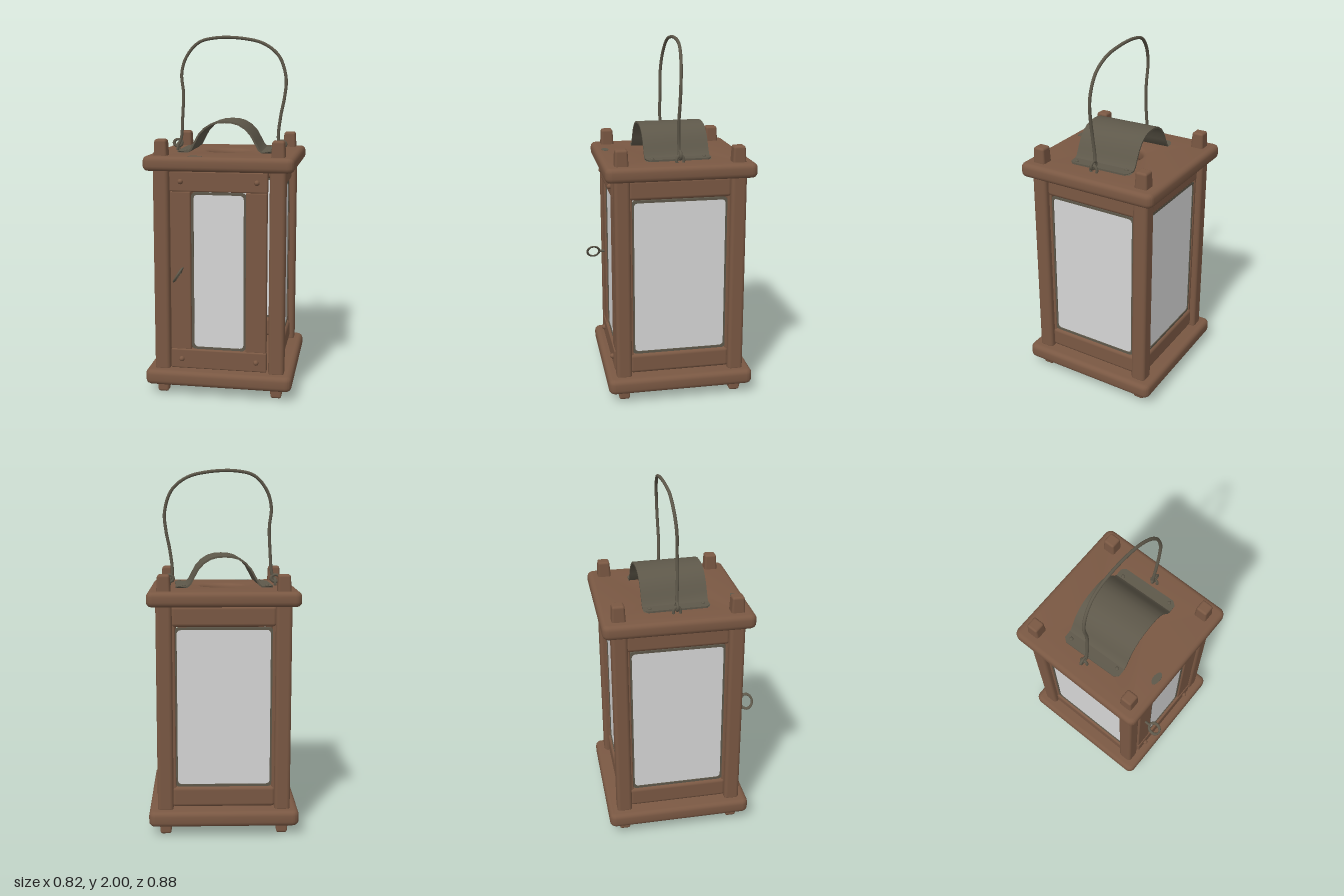
import * as THREE from 'three';
import { toCreasedNormals } from 'three/addons/utils/BufferGeometryUtils.js';
import { RoundedBoxGeometry } from 'three/addons/geometries/RoundedBoxGeometry.js';

const CZ = -0.025; // centre of the wooden body in z
const PANE_Y = 0.71;

export function createModel() {
  const wood = new THREE.MeshStandardMaterial({ color: 0x7a5843 });
  wood.name = 'brown wood';
  const metal = new THREE.MeshStandardMaterial({ color: 0x5e584a });
  metal.name = 'dull iron';
  const glass = new THREE.MeshStandardMaterial({ color: 0xd6d6d6 });
  glass.name = 'pale glass';

  const model = new THREE.Group();
  model.name = 'lantern';

  function add(parent, name, geometry, material, x = 0, y = 0, z = 0) {
    const mesh = new THREE.Mesh(geometry, material);
    mesh.name = name;
    mesh.position.set(x, y, z);
    parent.add(mesh);
    return mesh;
  }
  const box = (w, h, d, r = 0.012) => new RoundedBoxGeometry(w, h, d, 2, r);

  // Rounded box that narrows towards its top
  function taperedBox(w, h, topScale) {
    const g = box(w, h, w, 0.014);
    const p = g.attributes.position;
    for (let i = 0; i < p.count; i++) {
      const s = THREE.MathUtils.lerp(1, topScale, p.getY(i) / h + 0.5);
      p.setX(i, p.getX(i) * s);
      p.setZ(i, p.getZ(i) * s);
    }
    return g;
  }

  function roundedRect(w, h, r, Type = THREE.Shape) {
    const s = new Type();
    const x = w / 2, y = h / 2;
    s.moveTo(-x + r, -y);
    s.lineTo(x - r, -y);
    s.quadraticCurveTo(x, -y, x, -y + r);
    s.lineTo(x, y - r);
    s.quadraticCurveTo(x, y, x - r, y);
    s.lineTo(-x + r, y);
    s.quadraticCurveTo(-x, y, -x, y - r);
    s.lineTo(-x, -y + r);
    s.quadraticCurveTo(-x, -y, -x + r, -y);
    return s;
  }

  // Base and roof boards; the roof has a round vent hole
  function board(thickness, hasHole) {
    const bevel = 0.026;
    const shape = roundedRect(0.825 - 2 * bevel, 0.825 - 2 * bevel, 0.015);
    if (hasHole) {
      const hole = new THREE.Path();
      hole.absarc(0, 0, 0.142, 0, Math.PI * 2, true);
      shape.holes.push(hole);
    }
    const g = new THREE.ExtrudeGeometry(shape, {
      depth: thickness - 2 * bevel, bevelEnabled: true, bevelSize: bevel,
      bevelThickness: bevel, bevelSegments: 4, curveSegments: 20,
    });
    g.translate(0, 0, -thickness / 2 + bevel);
    g.rotateX(-Math.PI / 2);
    return toCreasedNormals(g, 0.7);
  }
  add(model, 'baseBoard', board(0.085, false), wood, 0, 0.1025, CZ);
  add(model, 'roofBoard', board(0.08, true), wood, 0, 1.312, CZ);

  // Corner posts with pegs through the roof and feet under the base
  for (const sx of [-1, 1]) {
    for (const sz of [-1, 1]) {
      const x = sx * 0.322, z = CZ + sz * 0.32;
      add(model, 'cornerPost', box(0.087, 1.16, 0.087, 0.02), wood, x, 0.71, z);
      add(model, 'roofPeg', taperedBox(0.08, 0.14, 0.82), wood, x, 1.37, z);
      const foot = add(model, 'foot', taperedBox(0.074, 0.1, 0.8), wood, x, 0.05, z);
      foot.rotation.x = Math.PI;
    }
  }

  // Glass pane with a thin iron rim, facing local +z
  function pane(parent, w, z) {
    const h = 0.865;
    add(parent, 'pane', new THREE.ExtrudeGeometry(roundedRect(w, h, 0.025),
      { depth: 0.008, bevelEnabled: false }), glass, 0, PANE_Y, z);
    const rim = roundedRect(w + 0.025, h + 0.025, 0.028);
    rim.holes.push(roundedRect(w - 0.002, h - 0.002, 0.025, THREE.Path));
    add(parent, 'paneRim', new THREE.ExtrudeGeometry(rim,
      { depth: 0.016, bevelEnabled: false }), metal, 0, PANE_Y, z - 0.003);
  }

  // Fixed glazed walls: left, back and right
  [['leftWall', Math.PI / 2], ['backWall', Math.PI], ['rightWall', -Math.PI / 2]].forEach(([name, turn]) => {
    const wall = new THREE.Group();
    wall.name = name;
    wall.position.z = CZ;
    wall.rotation.y = turn;
    for (const y of [0.208, 1.215]) add(wall, 'wallRail', box(0.57, 0.115, 0.06, 0.02), wood, 0, y, 0.308);
    for (const s of [-1, 1]) add(wall, 'wallStile', box(0.022, 0.95, 0.05, 0.006), wood, s * 0.274, PANE_Y, 0.305);
    pane(wall, 0.51, 0.312);
    model.add(wall);
  });

  // Front door: stiles, rails, pane and rivets
  const door = new THREE.Group();
  door.name = 'door';
  model.add(door);
  for (const y of [0.21, 1.215]) {
    add(door, 'doorRail', box(0.54, 0.112, 0.05, 0.008), wood, 0, y, 0.316);
    for (const x of [-0.207, 0.212]) {
      const rivet = add(door, 'doorRivet', new THREE.SphereGeometry(0.015, 10, 8), wood, x, y, 0.343);
      rivet.scale.z = 1.2;
    }
  }
  add(door, 'doorStile', box(0.115, 0.9, 0.046, 0.008), wood, -0.212, PANE_Y, 0.312);
  add(door, 'doorStile', box(0.115, 0.9, 0.046, 0.008), wood, 0.209, PANE_Y, 0.312);
  pane(door, 0.28, 0.312);

  // Ring pull on the door
  const pull = add(door, 'ringPull', new THREE.TorusGeometry(0.036, 0.007, 8, 24), metal, -0.21, 0.71, 0.402);
  pull.rotation.set(0, Math.PI / 2, 0);
  pull.geometry.applyMatrix4(new THREE.Matrix4().makeShear(0, 0, 0, 0.6, 0, 0));
  const shank = add(door, 'pullShank', new THREE.CylinderGeometry(0.008, 0.008, 0.05, 8), metal, -0.21, 0.71, 0.348);
  shank.rotation.x = Math.PI / 2;

  // Bent iron heat shield over the vent, with trimmed flange corners
  const shield = new THREE.Group();
  shield.name = 'heatShield';
  shield.position.set(-0.002, 0, CZ);
  shield.rotation.y = 0.035;
  model.add(shield);
  const half = [[0.27, 1.354], [0.25, 1.354], [0.205, 1.355], [0.185, 1.372], [0.165, 1.41], [0.142, 1.452],
    [0.112, 1.485], [0.075, 1.508], [0.038, 1.518]];
  const line = [...half.map(([x, y]) => [-x, y]), [0, 1.52], ...half.slice().reverse()];
  const offset = line.map(([x, y], i) => {
    const a = line[Math.max(i - 1, 0)], b = line[Math.min(i + 1, line.length - 1)];
    const dx = b[0] - a[0], dy = b[1] - a[1], l = Math.hypot(dx, dy);
    return [x - dy / l * 0.01, y + dx / l * 0.01];
  });
  const outline = [...line, ...offset.reverse()].map(([x, y]) => new THREE.Vector2(x, y));
  const sheet = new THREE.ExtrudeGeometry(new THREE.Shape(outline), { depth: 0.365, bevelEnabled: false });
  sheet.translate(0, 0, -0.1825);
  const sp = sheet.attributes.position;
  for (let i = 0; i < sp.count; i++) if (Math.abs(sp.getX(i)) > 0.26) sp.setZ(i, sp.getZ(i) * 0.88);
  add(shield, 'shieldSheet', toCreasedNormals(sheet, 0.6), metal);
  for (const [x, z] of [[-0.245, -0.165], [0.215, -0.18], [-0.222, 0.132], [0.25, 0.115]]) {
    const nail = add(model, 'shieldNail', new THREE.SphereGeometry(0.011, 10, 8), metal, x, 1.365, z);
    nail.scale.y = 0.7;
  }

  // Worn spot on the roof near the front edge
  const spot = add(model, 'wornSpot', new THREE.CylinderGeometry(0.02, 0.02, 0.003, 16), metal, -0.13, 1.3515, 0.328);
  spot.scale.x = 2;

  // Wire carrying handle
  const wire = new THREE.CatmullRomCurve3([
    [-0.3, 1.375, -0.025], [-0.283, 1.42, -0.025], [-0.272, 1.55, -0.02], [-0.267, 1.68, -0.022], [-0.277, 1.79, -0.025],
    [-0.25, 1.885, -0.033], [-0.18, 1.965, -0.043], [-0.08, 1.991, -0.05], [0.08, 1.986, -0.05],
    [0.2, 1.955, -0.043], [0.285, 1.885, -0.033], [0.325, 1.765, -0.025], [0.318, 1.66, -0.022],
    [0.297, 1.55, -0.02], [0.285, 1.42, -0.025], [0.3, 1.375, -0.025],
  ].map((p) => new THREE.Vector3(...p)));
  add(model, 'handleWire', new THREE.TubeGeometry(wire, 90, 0.009, 8), metal);

  // Staples in the roof and the hooked wire ends
  for (const s of [-1, 1]) {
    const staple = add(model, 'handleStaple', new THREE.TorusGeometry(0.02, 0.008, 8, 16), metal, s * 0.302, 1.362, -0.028);
    staple.rotation.y = Math.PI / 2;
    staple.scale.y = 1.3;
    const hook = add(model, 'handleHook', new THREE.TorusGeometry(0.02, 0.008, 8, 16), metal, s * 0.303, 1.392, -0.028);
    hook.scale.x = 1.2;
  }
  return model;
}
